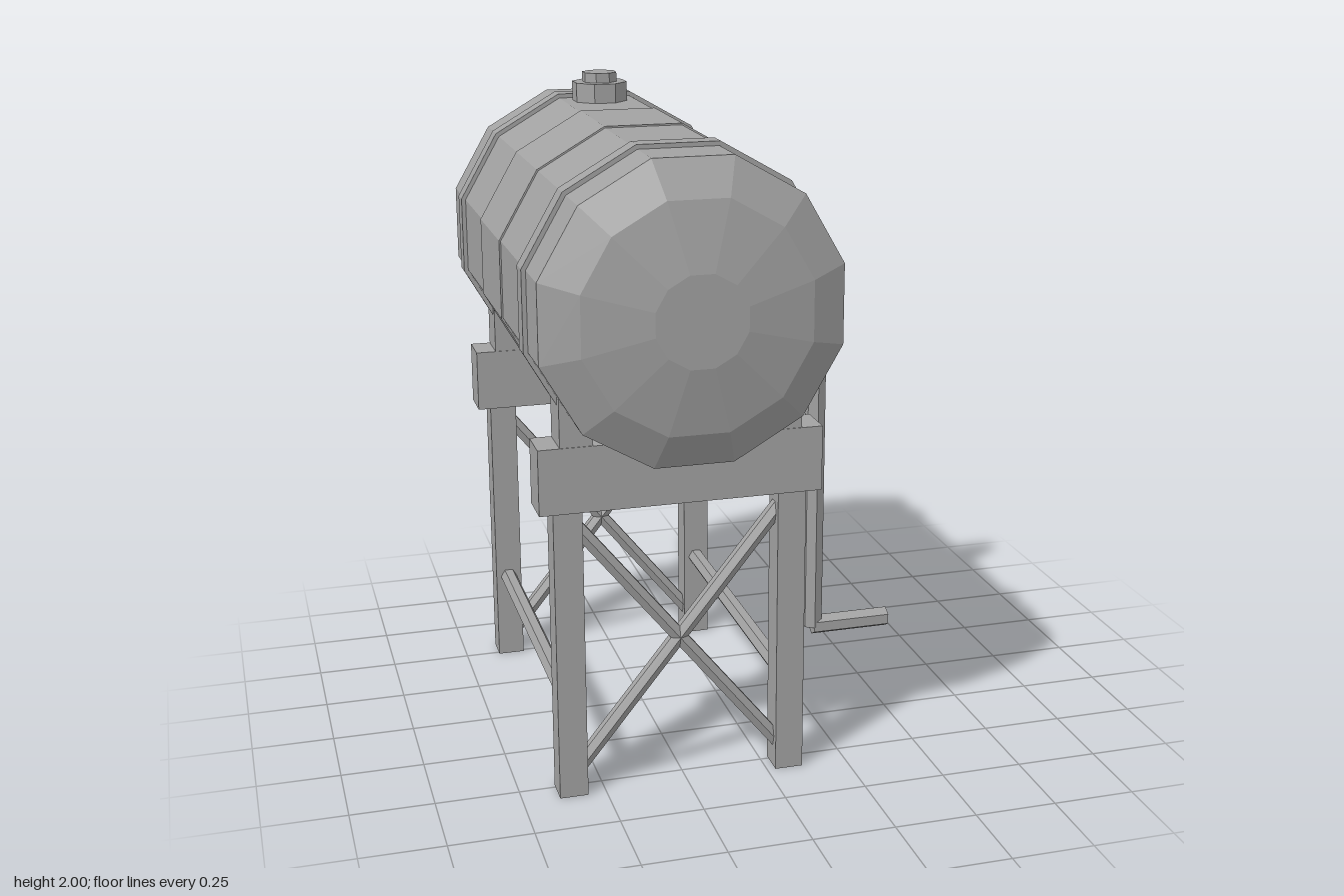
import * as THREE from 'three';

const CX = -0.265, CY = 1.48;          // tank axis
const APO12 = Math.cos(Math.PI / 12);  // apothem / radius of a 12-gon
const UP = new THREE.Vector3(0, 1, 0);

export function createModel() {
  const model = new THREE.Group();
  model.name = 'tankOnStand';
  const grey = new THREE.MeshStandardMaterial({ color: 0xa2a2a2, flatShading: true });
  grey.name = 'grey metal';

  function add(name, geometry, x = 0, y = 0, z = 0) {
    const mesh = new THREE.Mesh(geometry, grey);
    mesh.name = name;
    mesh.position.set(x, y, z);
    model.add(mesh);
    return mesh;
  }

  // Faceted bar between two points; spin turns its facets about its own axis
  function rod(name, a, b, r, sides = 6, spin = 0) {
    const from = new THREE.Vector3(...a), dir = new THREE.Vector3(...b).sub(from);
    const geometry = new THREE.CylinderGeometry(r, r, dir.length(), sides).rotateY(spin);
    const mesh = add(name, geometry);
    mesh.position.copy(from).addScaledVector(dir, 0.5);
    mesh.quaternion.setFromUnitVectors(UP, dir.normalize());
    return mesh;
  }

  // Twelve-sided drum along z, from [apothem, z] pairs, flat side on top
  function drum(name, profile, z = 0) {
    const points = profile.map(([a, h]) => new THREE.Vector2(a / APO12, h));
    const geometry = new THREE.LatheGeometry(points, 12).rotateY(Math.PI / 12).rotateX(Math.PI / 2);
    return add(name, geometry, CX, CY, z);
  }

  const band = (a, h) => [[0, -h], [a, -h], [a, h], [0, h]];

  // Tank with domed ends, middle sleeve and two straps
  drum('tank', [
    [0, -0.803], [0.13, -0.803], [0.325, -0.768], [0.43, -0.713],
    [0.43, 0.713], [0.325, 0.768], [0.13, 0.803], [0, 0.803],
  ]);
  drum('middleSleeve', band(0.435, 0.166));
  for (const z of [-0.53, 0.53]) drum('strap', band(0.443, 0.031), z);

  // Stand: two trestles, each with legs, cradle and crossed braces
  for (const z of [-0.53, 0.53]) {
    add('cradleBeam', new THREE.BoxGeometry(0.835, 0.195, 0.12), CX, 0.9925, z);
    for (const s of [-1, 1]) {
      add('leg', new THREE.BoxGeometry(0.085, 0.9, 0.085), CX + s * 0.333, 0.45, z);
      add('cradleCheek', new THREE.BoxGeometry(0.095, 0.15, 0.116), CX + s * 0.307, 1.16, z);
      rod('crossBrace', [CX + s * 0.31, 0.075, z], [CX - s * 0.31, 0.845, z], 0.024);
    }
  }
  for (const s of [-1, 1]) {
    rod('sideRail', [CX + s * 0.333, 0.285, -0.495], [CX + s * 0.333, 0.285, 0.495], 0.027, 6, Math.PI / 6);
  }

  // Filler cap on top and round port on the side
  rod('fillerNeck', [CX, 1.9, -0.42], [CX, 1.97, -0.42], 0.088, 8, Math.PI / 8);
  rod('fillerCap', [CX, 1.96, -0.42], [CX, 2.0, -0.42], 0.055, 8, Math.PI / 8);
  rod('sidePort', [0.15, 1.533, 0.305], [0.203, 1.533, 0.305], 0.084, 8, Math.PI / 8);

  // Hand wheel with five spokes
  const WY = 1.42, WZ = -0.278;
  add('wheelRim', new THREE.TorusGeometry(0.094, 0.013, 6, 10).rotateZ(Math.PI / 2).rotateY(Math.PI / 2), 0.235, WY, WZ);
  for (let i = 0; i < 5; i++) {
    const a = Math.PI + i * Math.PI * 2 / 5;
    rod('wheelSpoke', [0.235, WY, WZ],
      [0.235, WY + 0.094 * Math.cos(a), WZ + 0.094 * Math.sin(a)], 0.009);
  }

  // Long crank: shaft, arm and grip
  rod('crankShaft', [0.205, WY, WZ], [0.43, WY, WZ], 0.035, 6, Math.PI / 6);
  rod('crankArm', [0.43, 0.07, WZ], [0.43, WY, WZ], 0.035);
  rod('crankGrip', [0.43, 0.07, WZ], [0.705, 0.07, WZ], 0.035, 6, Math.PI / 6);

  return model;
}
